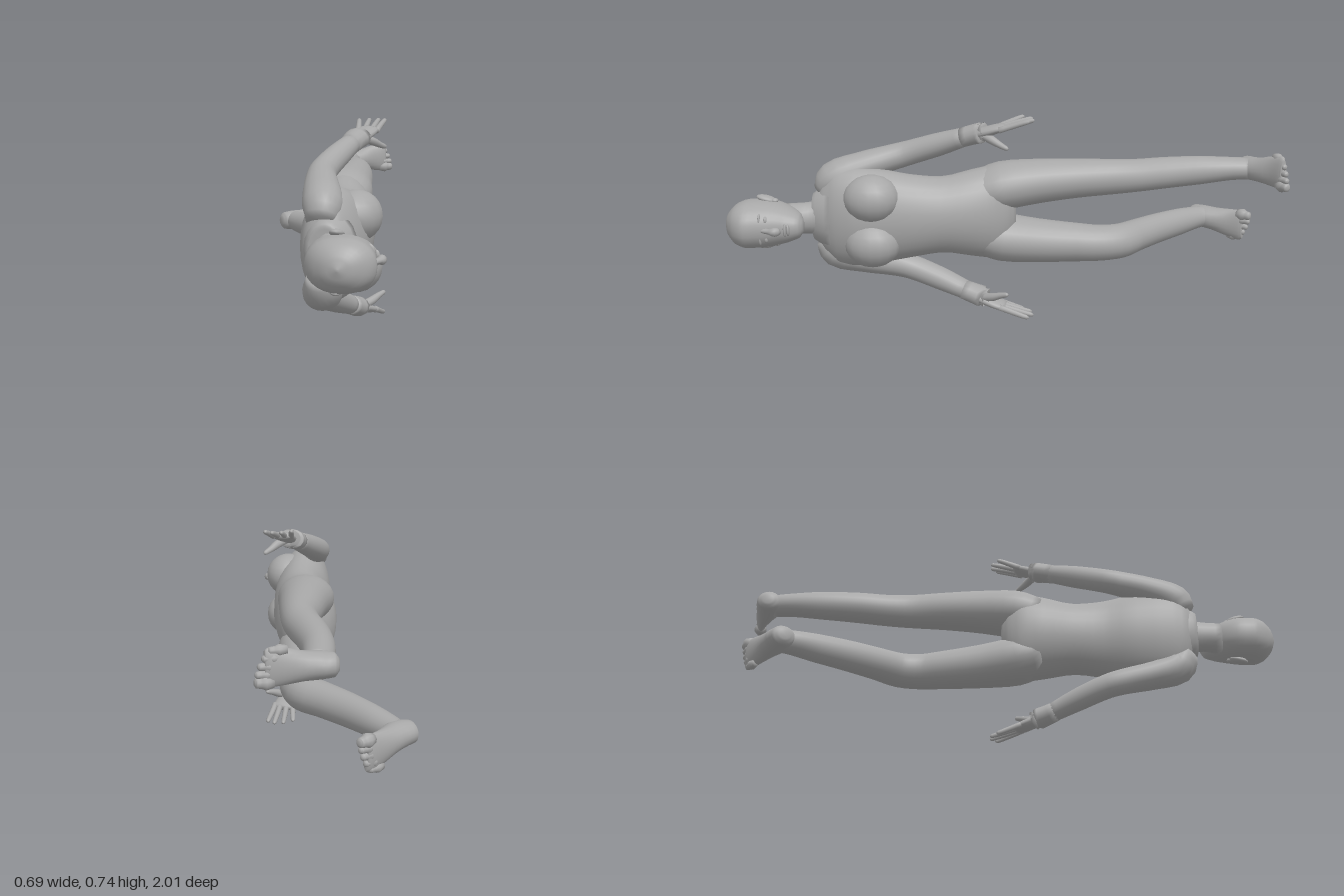
import * as THREE from 'three';

const MID = 0.3725; // height of the body's plane of symmetry
const Z = new THREE.Vector3(0, 0, 1);

// Smooth closed skin through rings [x, y, z, radius along y, radius across].
// dir fixes the ring normal; square < 1 makes the section boxier.
function loft(rings, { n = 20, steps = 3, dir = null, square = 1 } = {}) {
  const path = new THREE.CatmullRomCurve3(rings.map(r => new THREE.Vector3(r[0], r[1], r[2])));
  const size = new THREE.CatmullRomCurve3(rings.map(r => new THREE.Vector3(r[3], r[4], 0)));
  const count = (rings.length - 1) * steps;
  const pos = [], idx = [];
  const bend = v => Math.sign(v) * Math.abs(v) ** square;
  for (let k = -1; k <= count + 1; k++) {
    const t = THREE.MathUtils.clamp(k / count, 0, 1);
    const cap = k < 0 || k > count ? 0 : 1;
    const c = path.getPoint(t), s = size.getPoint(t);
    const tan = dir || path.getTangent(t);
    const u = new THREE.Vector3(0, 1, 0).addScaledVector(tan, -tan.y).normalize();
    const v = new THREE.Vector3().crossVectors(tan, u);
    for (let j = 0; j < n; j++) {
      const a = j / n * Math.PI * 2;
      const p = c.clone()
        .addScaledVector(u, bend(Math.cos(a)) * Math.max(0, s.x) * cap)
        .addScaledVector(v, bend(Math.sin(a)) * Math.max(0, s.y) * cap);
      pos.push(p.x, p.y, p.z);
    }
  }
  for (let k = 0; k < count + 2; k++) {
    for (let j = 0; j < n; j++) {
      const a = k * n + j, b = k * n + (j + 1) % n;
      idx.push(a, b, a + n, b, b + n, a + n);
    }
  }
  const g = new THREE.BufferGeometry();
  g.setAttribute('position', new THREE.Float32BufferAttribute(pos, 3));
  g.setIndex(idx);
  g.computeVertexNormals();
  return g;
}

// Section across the body: [z, back x, front x, half width]
const across = list => list.map(([z, b, f, h]) => [(b + f) / 2, MID, z, h, (f - b) / 2]);
// Limb ring with y measured outwards from the middle, mirrored by s
const mirror = (list, s) => list.map(([x, y, z, a, b]) => [x, MID + s * y, z, a, b]);

export function createModel() {
  const model = new THREE.Group();
  const grey = new THREE.MeshStandardMaterial({ color: 0xa8a8a8 });
  grey.name = 'plain grey';

  const add = (name, geometry, parent = model) => {
    const m = new THREE.Mesh(geometry, grey);
    m.name = name;
    parent.add(m);
    return m;
  };
  const ball = (name, x, y, z, rx, ry, rz) => {
    const m = add(name, new THREE.SphereGeometry(1, 18, 12));
    m.position.set(x, y, z);
    m.scale.set(rx, ry, rz);
    return m;
  };

  // Torso, from hips to shoulders
  add('torso', loft(across([
    [-0.02, 0.03, 0.13, 0.08], [0.01, -0.005, 0.17, 0.14], [0.06, -0.025, 0.2, 0.173],
    [0.14, -0.02, 0.22, 0.16], [0.25, 0.015, 0.232, 0.14], [0.36, 0.035, 0.245, 0.153],
    [0.46, 0.03, 0.25, 0.172], [0.55, 0.035, 0.25, 0.183], [0.62, 0.045, 0.23, 0.178],
    [0.665, 0.06, 0.205, 0.14], [0.69, 0.08, 0.19, 0.08],
  ]), { n: 28, dir: Z }));

  // Neck and collar
  add('neck', loft(across([
    [0.64, 0.09, 0.23, 0.08], [0.69, 0.105, 0.21, 0.062], [0.73, 0.11, 0.215, 0.056], [0.8, 0.125, 0.26, 0.06],
  ]), { dir: Z }));
  add('collar', loft(across([
    [0.64, 0.06, 0.235, 0.12], [0.675, 0.067, 0.22, 0.103], [0.705, 0.08, 0.2, 0.085], [0.708, 0.095, 0.19, 0.07],
  ]), { dir: Z, steps: 2 }));

  // Head and face
  add('head', loft(across([
    [0.722, 0.245, 0.28, 0.018], [0.737, 0.2, 0.303, 0.042], [0.78, 0.15, 0.314, 0.063],
    [0.82, 0.125, 0.317, 0.075], [0.87, 0.113, 0.326, 0.083], [0.92, 0.12, 0.334, 0.083],
    [0.96, 0.145, 0.315, 0.07], [0.988, 0.185, 0.275, 0.04], [1, 0.225, 0.235, 0.005],
  ]), { n: 28, dir: Z, square: 0.9 }));
  add('nose', loft([
    [0.312, MID, 0.862, 0.008, 0.01], [0.325, MID, 0.83, 0.01, 0.012],
    [0.332, MID, 0.81, 0.016, 0.015], [0.322, MID, 0.797, 0.012, 0.012],
  ], { n: 12 }));
  ball('upperLip', 0.312, MID, 0.779, 0.011, 0.024, 0.006);
  ball('lowerLip', 0.31, MID, 0.768, 0.011, 0.02, 0.006);

  for (const s of [1, -1]) {
    const side = s > 0 ? 'upper' : 'lower'; // the model lies on its side
    const at = y => MID + s * y;

    ball(side + 'Eye', 0.304, at(0.033), 0.845, 0.013, 0.015, 0.008);
    ball(side + 'Brow', 0.304, at(0.033), 0.866, 0.016, 0.024, 0.006);
    const ear = ball(side + 'Ear', 0.205, at(0.084), 0.858, 0.022, 0.012, 0.036);
    ear.rotation.x = -s * 0.25;
    ball(side + 'Earlobe', 0.213, at(0.079), 0.828, 0.012, 0.009, 0.013);
    ball(side + 'Breast', 0.205, at(0.083), 0.49, 0.086, 0.085, 0.1);

    // Arm, bent slightly at the elbow
    add(side + 'Arm', loft(mirror([
      [0.12, 0.085, 0.67, 0.04, 0.045], [0.12, 0.135, 0.63, 0.062, 0.065], [0.1, 0.172, 0.54, 0.052, 0.06],
      [0.078, 0.2, 0.43, 0.047, 0.05], [0.075, 0.216, 0.37, 0.045, 0.047], [0.1, 0.253, 0.26, 0.042, 0.044],
      [0.135, 0.293, 0.15, 0.033, 0.037],
    ], s)));
    add(side + 'Cuff', loft(mirror([
      [0.13, 0.286, 0.17, 0.035, 0.04], [0.14, 0.299, 0.13, 0.036, 0.045],
      [0.147, 0.306, 0.105, 0.037, 0.05], [0.147, 0.306, 0.105, 0.028, 0.036],
    ], s), { n: 14, steps: 2 }));

    // Hand
    add(side + 'Palm', loft(mirror([
      [0.145, 0.3, 0.13, 0.02, 0.026], [0.16, 0.312, 0.09, 0.019, 0.036],
      [0.17, 0.327, 0.045, 0.016, 0.042], [0.174, 0.334, 0.018, 0.011, 0.038],
    ], s), { n: 16 }));
    [[0.139, 0.13, -0.05], [0.162, 0.163, -0.078], [0.186, 0.196, -0.083], [0.206, 0.222, -0.066]].forEach(([x0, x1, z], i) => {
      const mid = (x0 + x1) / 2;
      add(side + 'Finger' + (i + 1), loft(mirror([
        [x0, 0.328, 0.04, 0.011, 0.011], [mid, 0.346, (z + 0.04) / 2, 0.01, 0.01],
        [x1, 0.36, z + 0.008, 0.008, 0.008], [x1, 0.361, z, 0.003, 0.003],
      ], s), { n: 10 }));
    });
    add(side + 'Thumb', loft(mirror([
      [0.165, 0.305, 0.1, 0.015, 0.018], [0.195, 0.292, 0.067, 0.015, 0.016],
      [0.216, 0.278, 0.037, 0.011, 0.012], [0.233, 0.269, 0.014, 0.008, 0.008], [0.236, 0.267, 0.009, 0.003, 0.003],
    ], s), { n: 10 }));

    // Leg: shared thigh, then one nearly straight shank and one bent shank
    const thigh = [
      [0.09, 0.08, 0.12, 0.07, 0.09], [0.085, 0.098, 0.03, 0.087, 0.105], [0.08, 0.113, -0.1, 0.08, 0.09],
      [0.075, 0.122, -0.24, 0.071, 0.077],
    ];
    const shank = s > 0 ? [
      [0.067, 0.125, -0.37, 0.064, 0.064], [0.045, 0.124, -0.46, 0.06, 0.062], [0.01, 0.124, -0.56, 0.058, 0.06],
      [-0.025, 0.125, -0.7, 0.053, 0.053], [-0.037, 0.128, -0.82, 0.043, 0.048], [-0.037, 0.128, -0.89, 0.04, 0.044],
    ] : [
      [0.072, 0.126, -0.33, 0.066, 0.07], [0.045, 0.127, -0.405, 0.064, 0.068], [-0.02, 0.127, -0.47, 0.06, 0.061],
      [-0.105, 0.128, -0.555, 0.057, 0.055], [-0.19, 0.128, -0.655, 0.052, 0.05],
      [-0.252, 0.128, -0.735, 0.043, 0.046], [-0.27, 0.128, -0.775, 0.04, 0.042],
    ];
    add(side + 'Leg', loft(mirror([...thigh, ...shank], s), { n: 24 }));

    // Foot, built along +x with its sole towards -z, then turned at the ankle
    const foot = new THREE.Group();
    foot.name = side + 'Foot';
    add('footBody', loft([
      [-0.066, 0, -0.035, 0.018, 0.02], [-0.052, 0, -0.033, 0.036, 0.042], [-0.01, 0, -0.026, 0.042, 0.052],
      [0.04, s * 0.004, -0.037, 0.045, 0.043], [0.1, s * 0.011, -0.054, 0.056, 0.027],
      [0.145, s * 0.014, -0.062, 0.06, 0.018], [0.16, s * 0.014, -0.063, 0.05, 0.012],
    ]), foot);
    for (let i = 0; i < 5; i++) {
      const y = s * (-0.03 + i * 0.0235), x = 0.178 - i * i * 0.0025, r = i ? 0.0125 : 0.018;
      add('toe' + (i + 1), loft([
        [x - 0.045, y, -0.062, r, r], [x - 0.01, y, -0.064, r, r], [x + 0.007, y, -0.065, r * 0.85, r * 0.85],
        [x + 0.012, y, -0.066, r * 0.4, r * 0.4],
      ], { n: 10 }), foot);
    }
    foot.rotation.y = s > 0 ? 0.3 : 0.78;
    foot.position.set(s > 0 ? -0.03 : -0.253, at(0.128), s > 0 ? -0.875 : -0.755);
    model.add(foot);
  }
  return model;
}
